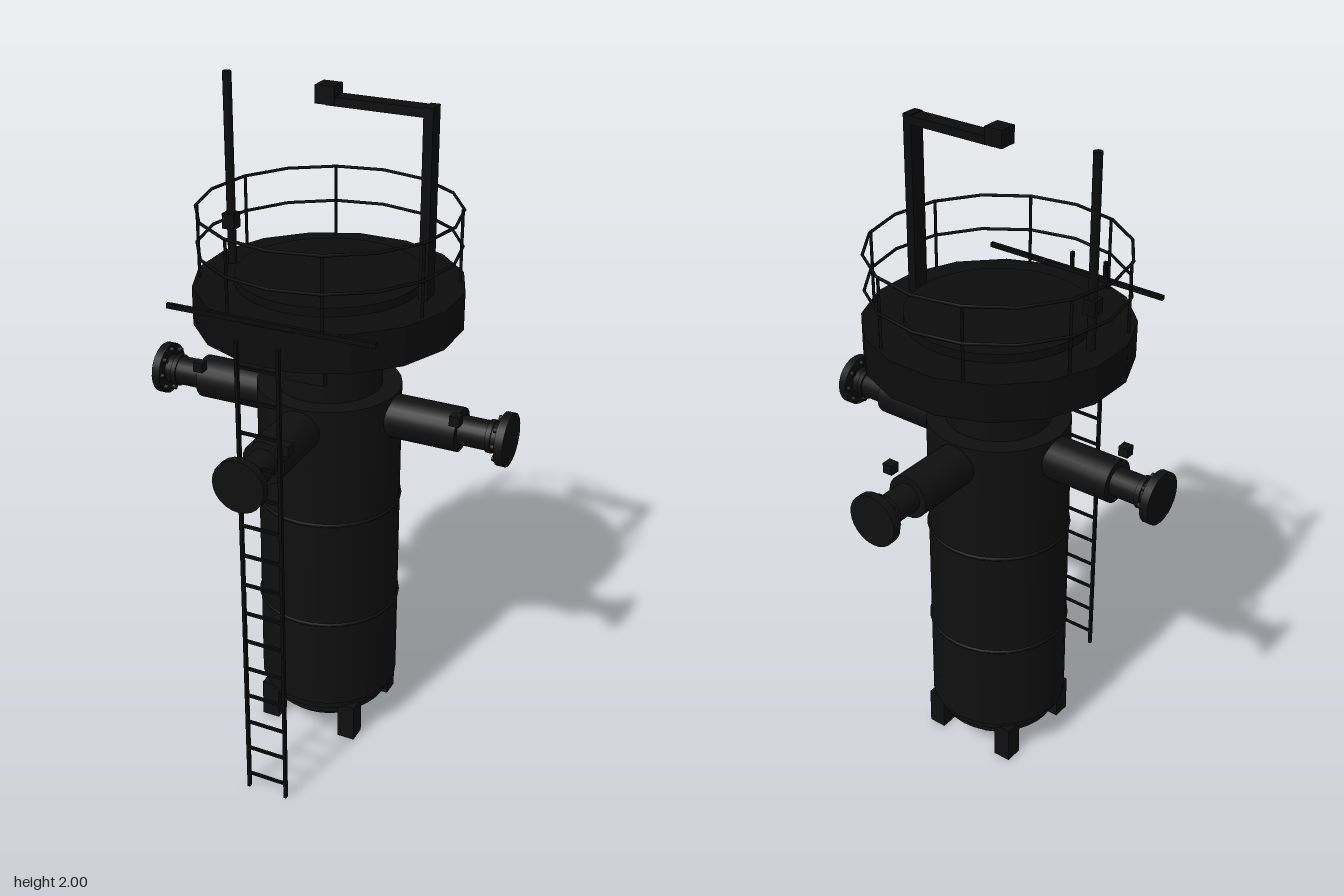
import * as THREE from 'three';

const mat = (name, color) => {
  const m = new THREE.MeshStandardMaterial({ color });
  m.name = name;
  return m;
};

export function createModel() {
  const model = new THREE.Group();
  model.name = 'pressureVessel';
  const hull = mat('black hull', 0x0f0f0f);
  const deck = mat('dark deck', 0x0c0c0c);
  const rail = mat('rail black', 0x0a0a0a);

  const add = (parent, name, geo, m, x = 0, y = 0, z = 0) => {
    const mesh = new THREE.Mesh(geo, m);
    mesh.name = name;
    mesh.position.set(x, y, z);
    parent.add(mesh);
    return mesh;
  };
  const box = (parent, name, m, w, h, d, x, y, z) =>
    add(parent, name, new THREE.BoxGeometry(w, h, d), m, x, y, z);
  // Upright cylinder between two heights
  const drum = (parent, name, m, r, y0, y1, x = 0, z = 0, sides = 32) =>
    add(parent, name, new THREE.CylinderGeometry(r, r, y1 - y0, sides), m, x, (y0 + y1) / 2, z);
  const ring = (parent, name, m, r, tube, y, sides) => {
    const t = add(parent, name, new THREE.TorusGeometry(r, tube, 6, sides), m, 0, y, 0);
    t.rotation.x = Math.PI / 2;
    return t;
  };

  // Tank with stepped base, neck and seams
  drum(model, 'tank', hull, 0.21, 0.14, 1.14);
  drum(model, 'baseStep', hull, 0.197, 0.113, 0.14);
  drum(model, 'baseStep', hull, 0.182, 0.087, 0.113);
  drum(model, 'baseStep', hull, 0.155, 0.06, 0.087);
  drum(model, 'neck', hull, 0.154, 1.14, 1.34);
  box(model, 'neckPlate', hull, 0.12, 0.11, 0.025, 0, 1.255, 0.15);
  for (const y of [0.43, 0.775]) ring(model, 'seam', hull, 0.209, 0.006, y, 32);

  // Four legs
  for (const x of [-0.13, 0.13])
    for (const z of [-0.13, 0.13]) box(model, 'leg', hull, 0.055, 0.12, 0.055, x, 0.06, z);

  // Four flanged nozzles, each built along +y and turned outward
  for (let i = 0; i < 4; i++) {
    const nozzle = new THREE.Group();
    nozzle.name = 'nozzle';
    const pivot = new THREE.Group();
    pivot.rotation.z = -Math.PI / 2;
    drum(pivot, 'sleeve', hull, 0.064, 0.15, 0.41, 0, 0, 24);
    drum(pivot, 'pipe', hull, 0.043, 0.4, 0.54, 0, 0, 24);
    drum(pivot, 'weldRing', hull, 0.048, 0.493, 0.508, 0, 0, 24);
    drum(pivot, 'flange', hull, 0.077, 0.53, 0.555, 0, 0, 24);
    for (let b = 0; b < 8; b++) {
      const a = (b * Math.PI) / 4;
      drum(pivot, 'bolt', hull, 0.008, 0.518, 0.532, 0.062 * Math.cos(a), 0.062 * Math.sin(a), 8);
    }
    nozzle.add(pivot);
    nozzle.position.y = 1.07;
    nozzle.rotation.y = (i * Math.PI) / 2;
    model.add(nozzle);
  }
  // Small junction boxes beside the nozzles
  for (const [x, z] of [[0.415, 0.065], [-0.392, 0.065], [0.07, 0.415], [0.07, -0.395]])
    box(model, 'junctionBox', hull, 0.03, 0.03, 0.03, x, 1.132, z);

  // Sixteen-sided platform with raised lid and toe bar
  const slab = new THREE.CylinderGeometry(0.383, 0.383, 0.112, 16).toNonIndexed();
  slab.rotateY(Math.PI / 16);
  slab.computeVertexNormals();
  add(model, 'platform', slab, deck, 0, 1.394, 0);
  drum(model, 'platformLid', deck, 0.265, 1.445, 1.475);
  box(model, 'toeBar', rail, 0.61, 0.014, 0.012, 0, 1.456, 0.365);

  // Guard rail
  for (const y of [1.555, 1.66]) ring(model, 'guardRail', rail, 0.367, 0.0045, y, 16);
  for (let i = 0; i < 8; i++) {
    const a = ((i + 0.5) * Math.PI) / 4;
    drum(model, 'railPost', rail, 0.0045, 1.44, 1.66, 0.363 * Math.cos(a), 0.363 * Math.sin(a), 6);
  }

  // Crane
  box(model, 'cranePost', deck, 0.027, 0.53, 0.05, 0.29, 1.71, 0);
  box(model, 'craneArm', deck, 0.3, 0.024, 0.05, 0.152, 1.96, 0);
  box(model, 'craneHead', deck, 0.056, 0.05, 0.056, -0.002, 1.975, 0);

  // Mast with lamp box
  drum(model, 'mast', deck, 0.013, 1.44, 2, -0.307, 0, 10);
  box(model, 'mastBox', deck, 0.038, 0.045, 0.038, -0.308, 1.577, 0);

  // Ladder
  const ladder = new THREE.Group();
  ladder.name = 'ladder';
  for (const x of [-0.034, 0.086]) box(ladder, 'ladderRail', rail, 0.009, 1.45, 0.012, x, 0.725, 0.48);
  for (let i = 0; i < 15; i++)
    box(ladder, 'rung', rail, 0.12, 0.008, 0.008, 0.026, 0.05 + i * 0.095, 0.48);
  model.add(ladder);

  return model;
}
